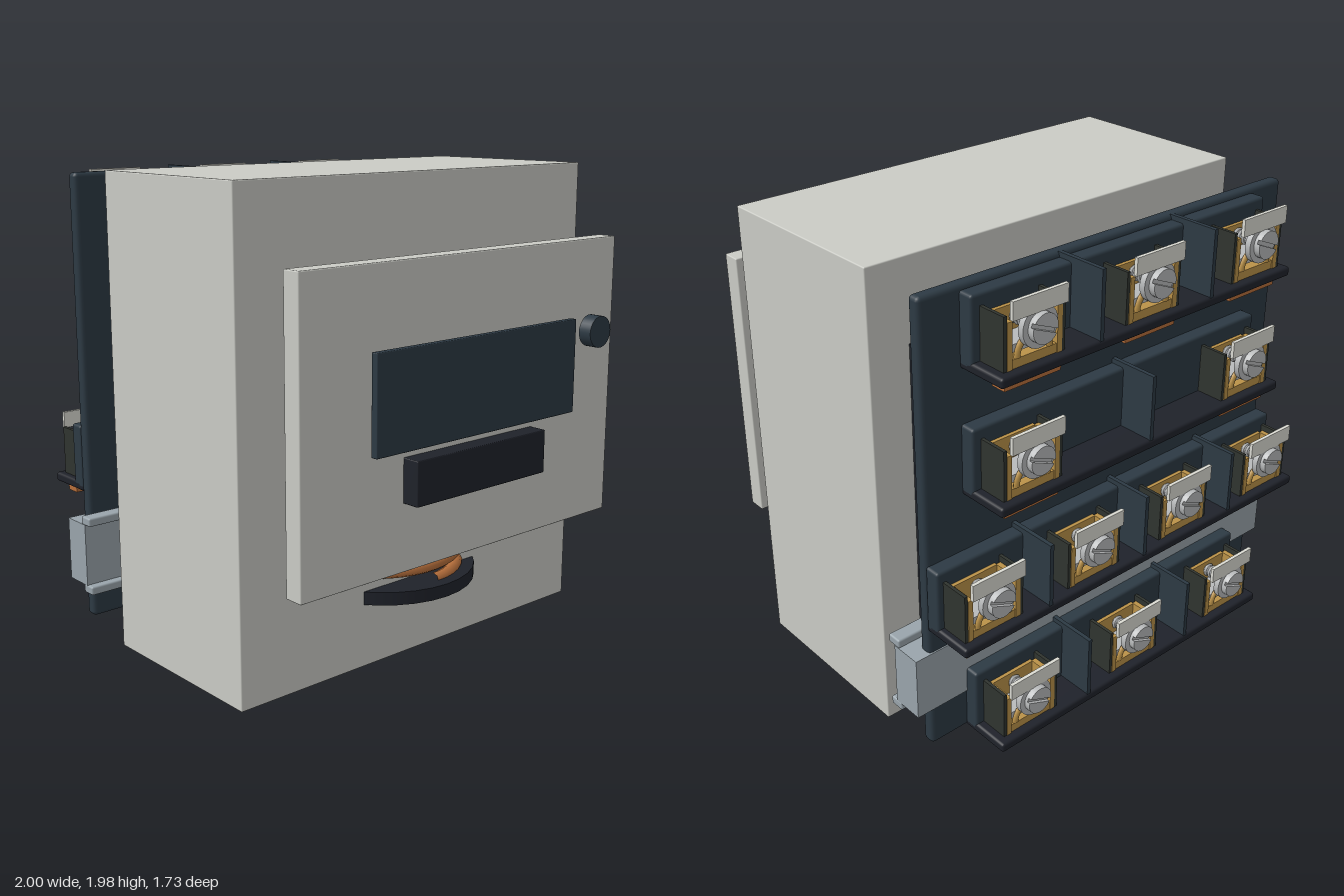
import * as THREE from 'three';
import { RoundedBoxGeometry } from 'three/addons/geometries/RoundedBoxGeometry.js';

const paint = (color) => new THREE.MeshStandardMaterial({ color });
const shell = paint(0xcbccc6), slate = paint(0x2d3a44), black = paint(0x1f222a);
const copper = paint(0xb8703c), steel = paint(0x9aa5ac), brass = paint(0xbb9248);
const silver = paint(0xb9bbbc), cage = paint(0x30342f), white = paint(0xdcdcd4);

function add(parent, name, geometry, material, x = 0, y = 0, z = 0) {
  const mesh = new THREE.Mesh(geometry, material);
  mesh.name = name;
  mesh.position.set(x, y, z);
  parent.add(mesh);
  return mesh;
}

// Box given by its extents; a radius rounds its edges
function box(parent, name, material, [x0, x1], [y0, y1], [z0, z1], radius = 0) {
  const w = x1 - x0, h = y1 - y0, d = z1 - z0;
  const geometry = radius ? new RoundedBoxGeometry(w, h, d, 2, radius) : new THREE.BoxGeometry(w, h, d);
  return add(parent, name, geometry, material, (x0 + x1) / 2, (y0 + y1) / 2, (z0 + z1) / 2);
}

// Cylinder lying along z
function rod(parent, name, material, r, x, y, [z0, z1], sides = 24) {
  const geometry = new THREE.CylinderGeometry(r, r, z1 - z0, sides).rotateX(Math.PI / 2);
  return add(parent, name, geometry, material, x, y, (z0 + z1) / 2);
}

// Helical curve around an axis
class Helix extends THREE.Curve {
  constructor(radius, pitch, turns) {
    super();
    Object.assign(this, { radius, pitch, turns });
  }
  getPoint(t, target = new THREE.Vector3()) {
    const a = t * this.turns * Math.PI * 2;
    return target.set(Math.sin(a) * this.radius, t * this.turns * this.pitch, Math.cos(a) * this.radius);
  }
}

// Screw clamp; its origin is the underside of the shelf
function terminal(x, y) {
  const g = new THREE.Group();
  g.name = 'terminal';
  g.position.set(x, y, 0);
  for (const s of [-1, 1]) {
    add(g, 'cageSide', new THREE.BoxGeometry(0.014, 0.21, 0.125), cage, s * 0.133, 0.14, -0.75);
    add(g, 'brassSide', new THREE.BoxGeometry(0.022, 0.18, 0.115), brass, s * 0.114, 0.13, -0.757);
  }
  box(g, 'brassBase', brass, [-0.105, 0.105], [0.04, 0.075], [-0.81, -0.69]);
  box(g, 'brassBack', brass, [-0.105, 0.105], [0.04, 0.22], [-0.705, -0.69]);
  box(g, 'clampBlock', silver, [-0.1, 0.1], [0.095, 0.125], [-0.8, -0.7]);
  const arch = add(g, 'clampArch', new THREE.TorusGeometry(0.075, 0.013, 8, 20, Math.PI), brass, 0, 0.075, -0.805);
  arch.scale.z = 0.8;
  // Screw with thread rings and a slotted head
  rod(g, 'screwShank', silver, 0.022, 0, 0.18, [-0.82, -0.69], 12);
  for (let i = 0; i < 5; i++) {
    add(g, 'thread', new THREE.TorusGeometry(0.023, 0.007, 5, 14), silver, 0, 0.18, -0.715 - i * 0.02);
  }
  rod(g, 'washer', silver, 0.08, 0, 0.18, [-0.84, -0.815]);
  for (const s of [-1, 1]) {
    const half = new THREE.Shape();
    half.absarc(0, 0, 0.057, 0.14, Math.PI - 0.14);
    const geometry = new THREE.ExtrudeGeometry(half, { depth: 0.015, bevelEnabled: false, curveSegments: 16 });
    add(g, 'headHalf', geometry, silver, 0, 0.18, -0.867).rotation.z = s > 0 ? 0.4 : Math.PI + 0.4;
  }
  rod(g, 'headBase', silver, 0.057, 0, 0.18, [-0.853, -0.838]);
  box(g, 'markerPlate', white, [-0.125, 0.125], [0.235, 0.305], [-0.843, -0.828]);
  // Metal tab under the shelf
  box(g, 'contactTab', copper, [-0.13, 0.13], [-0.038, 0.01], [-0.805, -0.74]);
  return g;
}

// One shelf with backing, dividers and its clamps
function terminalRow(y, halfWidth, clamps, dividers) {
  const g = new THREE.Group();
  g.name = 'terminalRow';
  const across = [-halfWidth, halfWidth];
  box(g, 'rowBacking', slate, across, [y + 0.01, y + 0.29], [-0.69, -0.62], 0.012);
  box(g, 'shelf', black, across, [y, y + 0.04], [-0.848, -0.62], 0.012);
  for (const x of dividers) {
    box(g, 'divider', slate, [x - 0.009, x + 0.009], [y + 0.02, y + 0.31], [-0.845, -0.62]);
  }
  for (const x of clamps) g.add(terminal(x, y));
  return g;
}

export function createModel() {
  const model = new THREE.Group();
  model.name = 'relayUnit';

  // Main housing and rear block
  box(model, 'housing', shell, [-0.935, 0.935], [0, 1.98], [-0.338, 0.49], 0.005);
  box(model, 'rearBlock', black, [-0.757, 0.757], [0.35, 1.64], [-0.58, -0.33]);

  // Front panel with display, button bar and knob
  box(model, 'frontPanel', shell, [-0.863, 0.863], [0.49, 1.687], [0.672, 0.756], 0.005);
  box(model, 'display', slate, [-0.553, 0.553], [0.985, 1.375], [0.785, 0.816], 0.004);
  box(model, 'buttonBar', black, [-0.36, 0.36], [0.766, 0.945], [0.75, 0.832], 0.004);
  rod(model, 'knob', slate, 0.066, 0.648, 1.317, [0.807, 0.865], 32);

  // Wound spool partly sunk in the housing
  const spool = new THREE.Group();
  spool.name = 'spool';
  spool.position.z = 0.25;
  model.add(spool);
  for (const y of [0.295, 0.958]) {
    add(spool, 'spoolFlange', new THREE.CylinderGeometry(0.398, 0.398, 0.055, 32), black, 0, y, 0);
  }
  add(spool, 'spoolCore', new THREE.CylinderGeometry(0.22, 0.22, 0.64, 24), black, 0, 0.627, 0);
  const wire = new THREE.TubeGeometry(new Helix(0.32, 0.068, 9), 360, 0.027, 8);
  add(spool, 'winding', wire, copper, 0, 0.32, 0);

  // Rear plate and terminal rows
  box(model, 'rearPlate', slate, [-0.932, 0.932], [0.055, 1.96], [-0.628, -0.572], 0.018);
  const three = [-0.58, 0, 0.58], pair = [-0.29, 0.29];
  model.add(
    terminalRow(1.65, 0.757, three, pair),
    terminalRow(1.14, 0.757, [-0.58, 0.58], [0]),
    terminalRow(0.61, 0.932, [-0.765, -0.255, 0.255, 0.765], [-0.51, 0, 0.51]),
    terminalRow(0.055, 0.757, three, pair),
  );

  // Mounting rail across the back
  const rail = new THREE.Group();
  rail.name = 'mountingRail';
  model.add(rail);
  box(rail, 'railWeb', steel, [-1, 1], [0.235, 0.505], [-0.634, -0.5]);
  for (const y of [0.2, 0.503]) {
    box(rail, 'railFlange', steel, [-1, 1], [y, y + 0.037], [-0.528, -0.463], 0.008);
  }
  return model;
}
